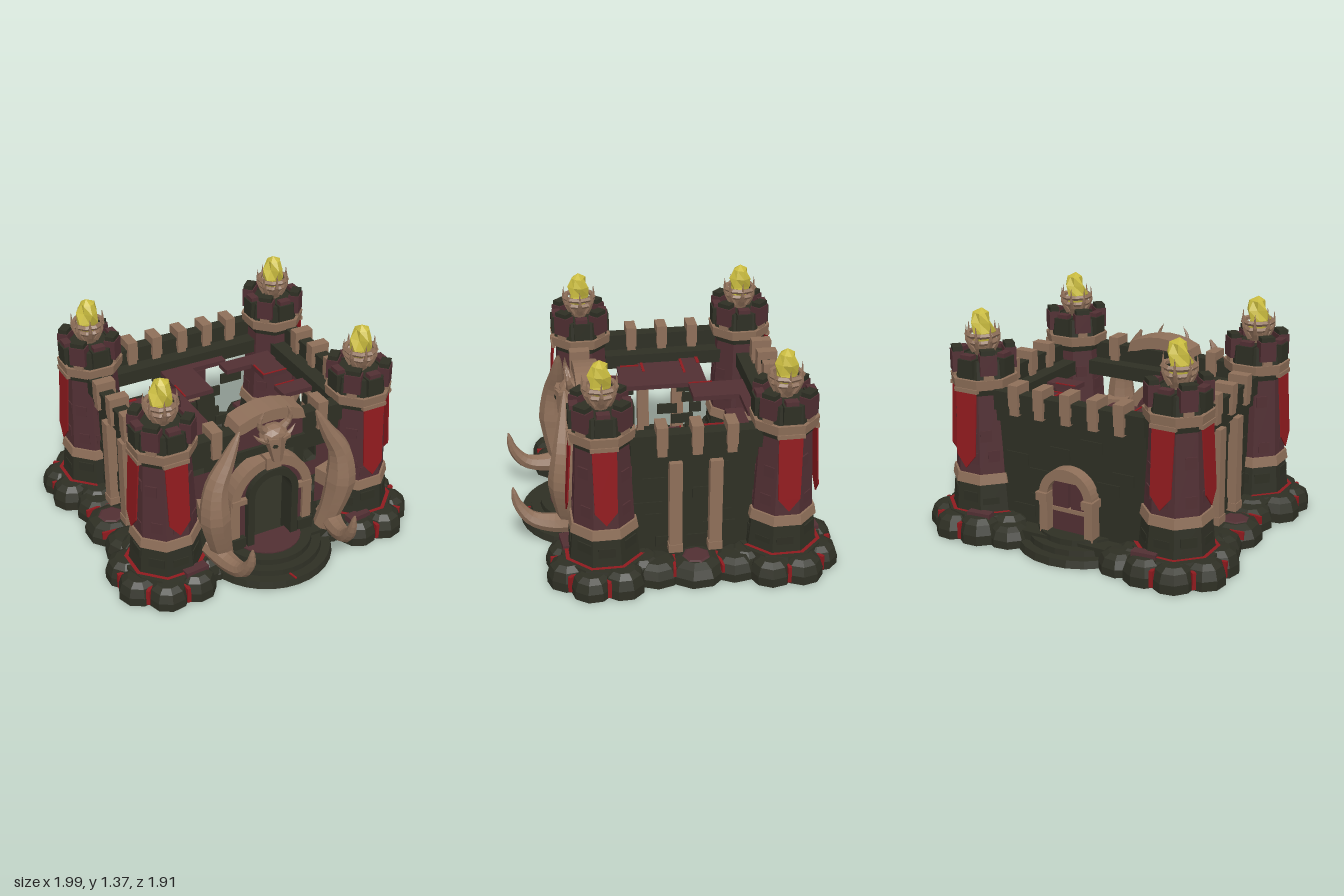
import * as THREE from 'three';

const mat = (name, hex) => Object.assign(new THREE.MeshStandardMaterial({ color: hex }), { name });

export function createModel() {
  const stone = mat('dark mossy stone', 0x2e2f24), brick = mat('purple brick', 0x512f33);
  const bone = mat('bone', 0x8e6f59), red = mat('red', 0x8f1a1e), fire = mat('yellow flame', 0xcbbd40);
  red.side = THREE.DoubleSide;
  const root = new THREE.Group();
  root.name = 'fortress';
  let seed = 7;
  const rnd = (a = 0, b = 1) => {
    seed = (seed * 16807) % 2147483647;
    return a + (b - a) * seed / 2147483647;
  };

  // Adds a faceted mesh
  function add(parent, name, geo, material, x = 0, y = 0, z = 0, ry = 0, rx = 0) {
    const g = geo.index ? geo.toNonIndexed() : geo;
    g.computeVertexNormals();
    const m = new THREE.Mesh(g, material);
    m.name = name;
    m.position.set(x, y, z);
    m.rotation.set(rx, ry, 0, 'YXZ');
    parent.add(m);
    return m;
  }
  const box = (p, n, w, h, d, m, x, y, z, ry, rx) => add(p, n, new THREE.BoxGeometry(w, h, d), m, x, y, z, ry, rx);
  // Octagonal drum given by half-widths across flats
  const drum = (p, n, top, bot, y0, y1, m) => {
    const k = Math.cos(Math.PI / 8);
    return add(p, n, new THREE.CylinderGeometry(top / k, bot / k, y1 - y0, 8), m, 0, (y0 + y1) / 2, 0, Math.PI / 8);
  };
  // Squat sloping boulder
  const rock = (p, x, z, r, h, sx = 1, sz = 1) => {
    const pts = [[0, 0], [r, 0], [r, h * 0.4], [r * 0.85, h * 0.8], [r * 0.55, h * 0.98], [0, h]].map(a => new THREE.Vector2(...a));
    const g = new THREE.LatheGeometry(pts, 9);
    g.scale(sx, 1, sz);
    return add(p, 'baseRock', g, stone, x, 0, z, rnd(-0.2, 0.2));
  };
  // Tapered horn along a curve
  function horn(p, name, pts, radius, n = 14, sides = 8) {
    const curve = new THREE.CatmullRomCurve3(pts.map(a => new THREE.Vector3(...a)));
    const g = new THREE.TubeGeometry(curve, n, 1, sides);
    const pos = g.attributes.position, v = new THREE.Vector3();
    for (let i = 0; i < pos.count; i++) {
      const t = Math.floor(i / (sides + 1)) / n, c = curve.getPointAt(t);
      v.fromBufferAttribute(pos, i).sub(c).multiplyScalar(radius(t)).add(c);
      pos.setXYZ(i, v.x, v.y, v.z);
    }
    return add(p, name, g, bone);
  }
  // Round-topped gate frame
  function arch(name, outer, inner, spring, depth, m, z, y0 = 0.1) {
    const s = new THREE.Shape();
    s.moveTo(outer, y0).lineTo(outer, spring).absarc(0, spring, outer, 0, Math.PI, false).lineTo(-outer, y0);
    s.lineTo(-inner, y0).lineTo(-inner, spring).absarc(0, spring, inner, Math.PI, 0, true).lineTo(inner, y0);
    return add(root, name, new THREE.ExtrudeGeometry(s, { depth, bevelEnabled: false, curveSegments: 10 }), m, 0, 0, z);
  }

  // Ground slab, side lobes and round steps
  const base = new THREE.Group();
  base.name = 'base';
  root.add(base);
  box(base, 'groundSlab', 1.64, 0.1, 1.42, stone, 0, 0.05, -0.09);
  for (const s of [-1, 1]) {
    for (const [z, r] of [[-0.32, 0.14], [-0.09, 0.17], [0.14, 0.14]]) rock(base, s * 0.77, z, r, 0.13, 1, 1.05);
    rock(base, s * 0.38, -0.78, 0.13, 0.12);
    rock(base, s * 0.4, 0.53, 0.12, 0.1);
    // Brick patch on the middle lobe with glowing seams beside it
    add(base, 'lobePatch', new THREE.CylinderGeometry(0.07, 0.09, 0.008, 7), brick, s * 0.775, 0.129, -0.09);
    for (const z of [-0.225, 0.045]) box(base, 'glowCrack', 0.16, 0.05, 0.016, red, s * 0.81, 0.09, z, z < -0.1 ? 0.1 : -0.1);
  }
  [[0.41, 0.045], [0.35, 0.08], [0.29, 0.115]].forEach(([r, h]) => {
    add(base, 'frontStep', new THREE.CylinderGeometry(r - 0.01, r, h, 16, 1, false, -Math.PI / 2, Math.PI), stone, 0, h / 2, 0.49);
    add(base, 'backStep', new THREE.CylinderGeometry(r - 0.01, r, h, 12, 1, false, Math.PI / 2, Math.PI), stone, 0, h / 2, -0.54);
  });
  add(base, 'brickLanding', new THREE.CylinderGeometry(0.21, 0.21, 0.008, 12, 1, false, -Math.PI / 2, Math.PI), brick, 0, 0.118, 0.5);
  box(base, 'glowCrack', 0.012, 0.008, 0.06, red, -0.02, 0.047, 0.865, 0.2);

  // Pointed banner hanging from the tower
  const cloth = new THREE.Shape([[-0.07, 0], [0.07, 0], [0.065, -0.39], [0, -0.47], [-0.065, -0.39]].map(a => new THREE.Vector2(...a)));
  function banner(p, ry) {
    const g = new THREE.Group();
    g.name = 'banner';
    g.rotation.y = ry;
    add(g, 'bannerCloth', new THREE.ExtrudeGeometry(cloth, { depth: 0.008, bevelEnabled: false }), red, 0, 0.9, 0.175, 0, -0.07);
    box(g, 'bannerRod', 0.16, 0.025, 0.025, bone, 0, 0.905, 0.178);
    p.add(g);
  }

  function tower(sx, sz) {
    const t = new THREE.Group();
    t.name = 'tower';
    t.position.set(sx * 0.65, 0, sz > 0 ? 0.44 : -0.61);
    root.add(t);
    // Rocky footing with a thin glowing rim and seams between the rocks
    const out = Math.atan2(sx, sz);
    add(t, 'footing', new THREE.CylinderGeometry(0.25, 0.28, 0.14, 12), stone, 0, 0.07, 0);
    for (let i = 0; i < 8; i++) {
      const a = (i + 0.5) * Math.PI / 4;
      rock(t, Math.sin(a) * 0.232, Math.cos(a) * 0.232, rnd(0.122, 0.132), rnd(0.13, 0.15));
    }
    const rim = add(t, 'glowRim', new THREE.RingGeometry(0.224, 0.248, 5, 1, -Math.PI * 5 / 8, Math.PI * 5 / 4), red, 0, 0.152, 0);
    rim.rotation.set(-Math.PI / 2, 0, out - Math.PI / 2);
    for (const k of [-1, 0, 1]) {
      const a = out + k * Math.PI / 4;
      box(t, 'glowCrack', 0.022, 0.1, 0.07, red, Math.sin(a) * 0.28, 0.06, Math.cos(a) * 0.28, a);
    }
    box(t, 'footPatch', 0.15, 0.04, 0.06, brick, -sx * 0.09, 0.148, sz * 0.215, 0.1);
    // Stacked shaft
    drum(t, 'lowerShaft', 0.185, 0.205, 0.12, 0.34, stone);
    drum(t, 'lowerBand', 0.188, 0.198, 0.325, 0.385, bone);
    drum(t, 'brickShaft', 0.152, 0.176, 0.38, 0.87, brick);
    drum(t, 'shaftCollar', 0.165, 0.155, 0.87, 0.92, stone);
    drum(t, 'upperBand', 0.188, 0.182, 0.91, 0.97, bone);
    drum(t, 'crown', 0.158, 0.168, 0.96, 1.08, stone);
    for (let i = 0; i < 8; i++) {
      const g = new THREE.Group();
      g.name = 'faceBricks';
      g.rotation.y = i * Math.PI / 4;
      // Raised bricks on each shaft face
      box(g, 'shaftBrick', 0.07, 0.07, 0.016, brick, rnd(-0.03, 0.03), rnd(0.44, 0.5), 0.168);
      box(g, 'shaftBrick', 0.07, 0.07, 0.016, brick, rnd(-0.03, 0.03), rnd(0.6, 0.75), 0.159);
      box(g, 'footBrick', 0.1, 0.06, 0.016, stone, rnd(-0.02, 0.02), rnd(0.2, 0.27), 0.19);
      // Battlements: tall brick corners on bone brackets, lower stone sides
      if (i % 2) {
        box(g, 'cornerMerlon', 0.1, 0.12, 0.07, brick, 0, 1.06, 0.155);
        box(g, 'merlonCap', 0.085, 0.03, 0.058, stone, 0, 1.133, 0.155);
        box(g, 'merlonBracket', 0.06, 0.06, 0.04, bone, 0, 0.985, 0.165);
      } else {
        box(g, 'sideMerlon', 0.1, 0.11, 0.07, stone, 0, 1.035, 0.15);
        box(g, 'merlonCap', 0.075, 0.03, 0.05, brick, 0, 1.1, 0.15);
      }
      t.add(g);
    }
    banner(t, sx * Math.PI / 2);
    banner(t, sz > 0 ? 0 : Math.PI);
    // Brazier basket and flame
    add(t, 'brazierBowl', new THREE.CylinderGeometry(0.07, 0.045, 0.07, 8), bone, 0, 1.11, 0);
    for (const [r, y] of [[0.092, 1.21], [0.078, 1.165]])
      add(t, 'brazierRing', new THREE.TorusGeometry(r, 0.016, 5, 9), bone, 0, y, 0, 0, Math.PI / 2);
    for (let i = 0; i < 7; i++) {
      const a = i * Math.PI * 2 / 7, c = Math.cos(a), s = Math.sin(a);
      horn(t, 'brazierClaw', [[c * 0.05, 1.11, s * 0.05], [c * 0.095, 1.18, s * 0.095], [c * 0.098, 1.27, s * 0.098]], u => 0.022 * (1.04 - u), 4, 5);
    }
    const pts = [[0, 1.14], [0.05, 1.16], [0.064, 1.22], [0.062, 1.28], [0.044, 1.335], [0, 1.365]].map(a => new THREE.Vector2(...a));
    const flame = new THREE.LatheGeometry(pts, 7), fp = flame.attributes.position;
    for (let i = 0; i < fp.count; i++) {
      const y = fp.getY(i), a = Math.atan2(fp.getX(i), fp.getZ(i)), k = 1 + 0.2 * Math.sin(3 * a + y * 40);
      fp.setXYZ(i, fp.getX(i) * k + 0.01 * Math.sin(y * 30), y, fp.getZ(i) * k);
    }
    add(t, 'flame', flame, fire);
  }
  for (const sx of [-1, 1]) for (const sz of [-1, 1]) tower(sx, sz);

  // Wall in local space: outer face at z = 0 looking +z
  function wall(name, x, z, ry, length, merlons, solid) {
    const w = new THREE.Group();
    w.name = name;
    w.position.set(x, 0, z);
    w.rotation.y = ry;
    root.add(w);
    if (solid) {
      add(w, 'wallFace', new THREE.PlaneGeometry(length, 0.72), stone, 0, 0.44, 0);
      for (let i = 0; i < 12; i++)
        box(w, 'wallBrick', rnd(0.08, 0.16), 0.07, 0.016, stone, rnd(-0.42, 0.42) * length, 0.18 + 0.08 * (i % 7), 0);
    }
    box(w, 'walkway', length, 0.09, 0.14, stone, 0, 0.765, -0.045);
    box(w, 'parapet', length, 0.12, 0.07, stone, 0, 0.855, 0.015);
    box(w, 'parapetCap', length, 0.022, 0.085, stone, 0, 0.905, 0.015);
    for (const m of merlons) {
      box(w, 'merlon', 0.066, 0.13, 0.125, bone, m, 0.905, 0.012);
      box(w, 'merlonFoot', 0.056, 0.06, 0.11, bone, m, 0.815, 0.015);
    }
    return w;
  }
  for (const s of [-1, 1]) {
    const w = wall('sideWall', s * 0.68, -0.095, s * Math.PI / 2, 0.76, [-0.2, 0, 0.2], true);
    // Bone buttresses
    for (const dz of [0.12, -0.115]) {
      box(w, 'buttress', 0.075, 0.6, 0.06, bone, -s * dz, 0.43, 0.03);
      box(w, 'buttressFoot', 0.085, 0.05, 0.07, bone, -s * dz, 0.16, 0.03);
    }
  }
  wall('backWall', 0, -0.68, Math.PI, 1.0, [-0.35, -0.18, 0, 0.18, 0.35], true);
  wall('frontWall', 0, 0.46, 0, 1.0, [-0.35, 0.35], false);

  // Ruined front wall panels: x0, x1, y0, y1
  [[-0.5, -0.24, 0.1, 0.45, stone], [-0.5, -0.2, 0.45, 0.66, brick], [-0.4, -0.26, 0.66, 0.74, stone],
    [-0.2, 0.26, 0.66, 0.74, stone], [0.26, 0.5, 0.62, 0.74, stone], [0.36, 0.5, 0.2, 0.62, brick],
    [0.2, 0.38, 0.1, 0.27, stone], [0.2, 0.36, 0.41, 0.52, brick], [0.2, 0.27, 0.52, 0.66, stone]].forEach(([a, b, c, d, m]) =>
    add(root, 'frontPanel', new THREE.PlaneGeometry(b - a, d - c), m, (a + b) / 2, (c + d) / 2, 0.46));
  box(root, 'gateLintel', 0.44, 0.14, 0.06, brick, 0, 0.86, 0.49);
  box(root, 'lintelLedge', 0.46, 0.05, 0.1, stone, 0, 0.765, 0.49);

  // Front gate: nested arches
  arch('gateBoneArch', 0.275, 0.215, 0.43, 0.1, bone, 0.46);
  arch('gateBrickArch', 0.22, 0.165, 0.44, 0.08, brick, 0.46);
  arch('gateStoneArch', 0.17, 0.125, 0.46, 0.12, stone, 0.46);
  for (const s of [-1, 1]) {
    box(root, 'archBlock', 0.1, 0.035, 0.12, bone, s * 0.22, 0.45, 0.51);
    box(root, 'archFoot', 0.1, 0.08, 0.13, stone, s * 0.23, 0.15, 0.51);
  }
  box(root, 'keystone', 0.1, 0.08, 0.12, bone, 0, 0.68, 0.52);

  // Back gate with a split door and brick infill above
  arch('backGateArch', 0.18, 0.125, 0.34, 0.09, bone, -0.76);
  arch('backGateReveal', 0.24, 0.11, 0.36, 0.03, stone, -0.675);
  for (const s of [-1, 1]) {
    box(root, 'backDoorLeaf', 0.105, 0.2, 0.03, brick, s * 0.0615, 0.33, -0.7);
    box(root, 'backGateBlock', 0.075, 0.05, 0.12, bone, s * 0.155, 0.33, -0.72);
  }
  box(root, 'backDoorSill', 0.23, 0.14, 0.03, brick, 0, 0.17, -0.7);
  box(root, 'backDoorInfill', 0.34, 0.2, 0.02, brick, 0, 0.53, -0.655);
  box(root, 'backDoorBar', 0.23, 0.025, 0.045, bone, 0, 0.25, -0.7);
  box(root, 'backDoorBar', 0.23, 0.03, 0.1, bone, 0, 0.44, -0.675);

  // Broken upper floor: x0, x1, z0, z1
  [[-0.53, -0.2, -0.2, 0.08], [-0.37, -0.2, 0.08, 0.28], [-0.5, -0.37, 0.08, 0.22], [-0.59, -0.2, -0.32, -0.2],
    [-0.2, 0, -0.55, -0.2], [0, 0.24, -0.55, -0.49], [0.18, 0.54, -0.47, -0.36], [0.36, 0.53, -0.36, -0.2],
    [0.36, 0.57, -0.06, 0.06]].forEach(([a, b, c, d]) =>
    box(root, 'floorPlate', b - a, 0.03, d - c, brick, (a + b) / 2, 0.75, (c + d) / 2));
  // Glowing seams on the floor: x0, x1, z0, z1
  [[-0.55, -0.35, -0.208, -0.192], [-0.53, -0.4, 0.05, 0.066], [-0.37, -0.2, 0.27, 0.28], [-0.59, -0.48, -0.32, -0.3],
    [0.36, 0.372, -0.34, -0.2], [-0.2, -0.19, -0.35, -0.2], [-0.5, -0.485, 0.08, 0.2], [0.37, 0.53, -0.21, -0.2],
    [0.36, 0.5, -0.06, -0.052]].forEach(([a, b, c, d]) =>
    box(root, 'floorSeam', b - a, 0.006, d - c, red, (a + b) / 2, 0.767, (c + d) / 2));

  // Great horns framing the gate, and ground tusks
  for (const s of [-1, 1]) {
    horn(root, 'greatHorn', [[s * 0.34, 0.13, 0.6], [s * 0.39, 0.3, 0.63], [s * 0.425, 0.5, 0.645], [s * 0.41, 0.68, 0.635], [s * 0.33, 0.83, 0.62], [s * 0.25, 0.99, 0.61]],
      t => t < 0.4 ? 0.06 + 0.09 * t : 0.006 + 0.09 * Math.pow((1 - t) / 0.6, 0.75), 18);
    box(root, 'hornSocket', 0.15, 0.1, 0.14, bone, s * 0.41, 0.46, 0.57, s * 0.3);
    horn(root, 'tusk', [[s * 0.4, 0.2, 0.55], [s * 0.37, 0.17, 0.7], [s * 0.35, 0.2, 0.84], [s * 0.34, 0.3, 0.92], [s * 0.34, 0.42, 0.945]],
      t => 0.004 + 0.07 * Math.pow(1 - t, 0.65));
  }

  // Curved bone crest above the gate
  const crest = new THREE.Shape();
  crest.moveTo(-0.23, 0.9).lineTo(-0.21, 0.97).quadraticCurveTo(0, 1.07, 0.21, 0.97).lineTo(0.23, 0.9).lineTo(0.17, 0.91).quadraticCurveTo(0, 0.98, -0.17, 0.91);
  add(root, 'crest', new THREE.ExtrudeGeometry(crest, { depth: 0.15, bevelEnabled: false, curveSegments: 6 }), bone, 0, 0, 0.385);

  // Horned beast skull
  const skull = new THREE.Group();
  skull.name = 'skull';
  skull.position.set(0, 0.87, 0.56);
  root.add(skull);
  const cranium = new THREE.IcosahedronGeometry(0.09, 1);
  cranium.scale(1, 0.8, 0.8);
  add(skull, 'cranium', cranium, bone);
  add(skull, 'snout', new THREE.CylinderGeometry(0.075, 0.03, 0.17, 6), bone, 0, -0.07, 0.035, 0, -0.2);
  for (const s of [-1, 1]) {
    horn(skull, 'skullHorn', [[s * 0.05, 0.03, 0], [s * 0.095, 0.08, 0.01], [s * 0.1, 0.13, 0.02], [s * 0.07, 0.19, 0.02]], t => 0.03 * (1.02 - t), 7, 6);
    horn(skull, 'cheekSpike', [[s * 0.06, -0.02, 0.02], [s * 0.1, 0, 0.02], [s * 0.14, 0.04, 0.01]], t => 0.022 * (1.02 - t), 4, 5);
    box(skull, 'browRidge', 0.06, 0.022, 0.03, bone, s * 0.04, 0.01, 0.07, s * 0.3);
    const eye = add(skull, 'eyeSocket', new THREE.CircleGeometry(0.018, 6), stone, s * 0.038, -0.022, 0.094, s * 0.3);
    eye.scale.y = 0.8;
  }
  return root;
}
